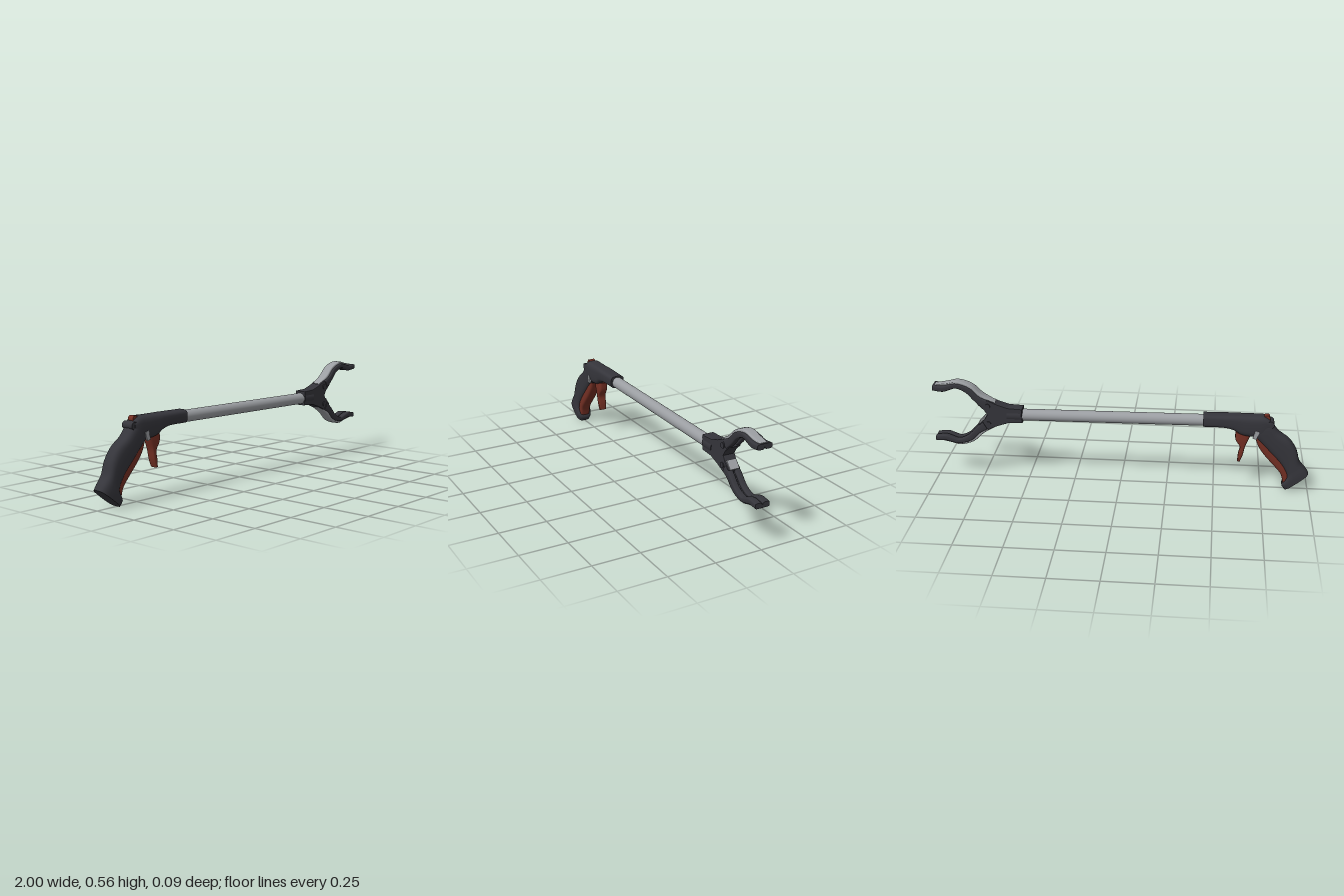
import * as THREE from 'three';

const material = (name, color) => {
  const m = new THREE.MeshStandardMaterial({ color });
  m.name = name;
  return m;
};

// Rounded-box loft: each station is [ax, ay, bx, by, halfWidth], the two edge points seen from the side.
function loft(stations, { z = 0, power = 4, steps = 4, sides = 28 } = {}) {
  const curve = (i, j, k) => new THREE.CatmullRomCurve3(
    stations.map(s => new THREE.Vector3(s[i], s[j], s[k])), false, 'centripetal');
  const a = curve(0, 1, 4), b = curve(2, 3, 4);
  const n = (stations.length - 1) * steps;
  const pos = [], idx = [];
  const soft = v => Math.sign(v) * Math.abs(v) ** (2 / power);
  const ring = t => {
    const p = a.getPoint(t), q = b.getPoint(t);
    for (let j = 0; j < sides; j++) {
      const ang = (j / sides) * Math.PI * 2;
      const c = soft(Math.cos(ang)) / 2, s = soft(Math.sin(ang));
      pos.push((p.x + q.x) / 2 + (p.x - q.x) * c, (p.y + q.y) / 2 + (p.y - q.y) * c,
        z + s * (p.z + q.z) / 2);
    }
    return [(p.x + q.x) / 2, (p.y + q.y) / 2, z];
  };
  for (let i = 0; i <= n; i++) ring(i / n);
  for (let i = 0; i < n; i++) for (let j = 0; j < sides; j++) {
    const k = (j + 1) % sides, r = i * sides, s = r + sides;
    idx.push(r + j, s + j, r + k, r + k, s + j, s + k);
  }
  // separate end caps keep the rims crisp
  for (const end of [0, 1]) {
    const start = pos.length / 3;
    pos.push(...ring(end));
    for (let j = 0; j < sides; j++) {
      const u = start + j, v = start + (j + 1) % sides, c = start + sides;
      idx.push(...(end ? [u, c, v] : [u, v, c]));
    }
  }
  // turn the faces outward if the sections run the other way
  const P = i => new THREE.Vector3().fromArray(pos, i * 3);
  let volume = 0;
  for (let i = 0; i < idx.length; i += 3) volume += P(idx[i]).dot(P(idx[i + 1]).cross(P(idx[i + 2])));
  if (volume < 0) idx.reverse();
  const g = new THREE.BufferGeometry();
  g.setAttribute('position', new THREE.Float32BufferAttribute(pos, 3));
  g.setIndex(idx);
  g.computeVertexNormals();
  return g;
}

export function createModel() {
  const model = new THREE.Group();
  const dark = material('charcoal plastic', 0x35353b);
  const red = material('rust red rubber', 0x753024);
  const grey = material('brushed aluminium', 0x9b9ea2);
  const midY = 0.381;

  const add = (name, geometry, mat, x = 0, y = 0, z = 0) => {
    const mesh = new THREE.Mesh(geometry, mat);
    mesh.name = name;
    mesh.position.set(x, y, z);
    model.add(mesh);
    return mesh;
  };
  const pin = (name, r, length, mat, x, y) =>
    add(name, new THREE.CylinderGeometry(r, r, length, 24).rotateX(Math.PI / 2), mat, x, y);

  // pistol grip with flared foot
  add('grip', loft([
    [-1.0, 0.105, -0.878, 0.008, 0.044],
    [-0.983, 0.13, -0.862, 0.035, 0.046],
    [-0.95, 0.17, -0.885, 0.085, 0.044],
    [-0.93, 0.235, -0.85, 0.155, 0.043],
    [-0.89, 0.295, -0.795, 0.215, 0.043],
    [-0.83, 0.34, -0.75, 0.265, 0.043],
    [-0.79, 0.39, -0.71, 0.305, 0.043],
    [-0.765, 0.41, -0.68, 0.33, 0.04]], { power: 3.2 }), dark);

  // soft insert along the finger side
  add('gripInsert', loft([
    [-0.92, 0.09, -0.868, 0.045, 0.03],
    [-0.91, 0.14, -0.855, 0.095, 0.032],
    [-0.875, 0.19, -0.815, 0.145, 0.032],
    [-0.825, 0.245, -0.765, 0.2, 0.032],
    [-0.785, 0.29, -0.73, 0.25, 0.032],
    [-0.765, 0.325, -0.71, 0.3, 0.03]]), red);

  // housing that holds the tube
  add('housing', loft([
    [-0.435, 0.425, -0.435, 0.357, 0.04],
    [-0.55, 0.426, -0.55, 0.356, 0.043],
    [-0.6, 0.427, -0.6, 0.342, 0.043],
    [-0.635, 0.427, -0.635, 0.32, 0.043],
    [-0.7, 0.427, -0.7, 0.31, 0.044],
    [-0.75, 0.426, -0.755, 0.315, 0.043],
    [-0.785, 0.405, -0.785, 0.345, 0.038]], { power: 3.5 }), dark);
  pin('rearKnuckle', 0.02, 0.07, dark, -0.785, 0.385);
  pin('lockButton', 0.017, 0.034, red, -0.765, 0.414);
  for (const s of [-1, 1]) {
    const plate = add('sideLatch', new THREE.BoxGeometry(0.022, 0.045, 0.008), grey, -0.712, 0.33, s * 0.043);
    plate.rotation.z = 0.3;
  }

  // trigger
  add('trigger', loft([
    [-0.69, 0.33, -0.605, 0.33, 0.026],
    [-0.678, 0.295, -0.608, 0.285, 0.026],
    [-0.66, 0.25, -0.632, 0.245, 0.024],
    [-0.65, 0.2, -0.625, 0.2, 0.023],
    [-0.636, 0.16, -0.622, 0.163, 0.02]]), red);

  // long tube, tilted very slightly
  const tube = add('tube', new THREE.CylinderGeometry(0.031, 0.031, 1.0, 40).rotateZ(Math.PI / 2), grey, 0.05, 0.383);
  tube.rotation.z = -0.009;

  // forked jaw hub
  const hubTop = [[0.525, 0.036], [0.6, 0.04], [0.655, 0.058], [0.705, 0.08], [0.74, 0.085],
    [0.755, 0.058], [0.722, 0.028], [0.706, 0]];
  const outline = [...hubTop, ...hubTop.slice(0, -1).reverse().map(([x, y]) => [x, -y])];
  const hub = new THREE.ExtrudeGeometry(
    new THREE.Shape(outline.map(([x, y]) => new THREE.Vector2(x, y))),
    { depth: 0.05, bevelSize: 0.004, bevelThickness: 0.008, bevelSegments: 3 });
  add('jawHub', hub, dark, 0, midY, -0.025);
  add('hubCollar', new THREE.CylinderGeometry(0.037, 0.037, 0.08, 32).rotateZ(Math.PI / 2), dark, 0.565, 0.38);

  // two curved jaws, mirrored about the hub axis
  const jawStrip = [
    [0.665, 0.452, 0.68, 0.43, 0.024],
    [0.735, 0.492, 0.75, 0.475, 0.028],
    [0.79, 0.541, 0.8, 0.522, 0.028],
    [0.865, 0.564, 0.868, 0.545, 0.026],
    [0.92, 0.553, 0.916, 0.536, 0.024],
    [0.985, 0.541, 0.985, 0.53, 0.021]];
  const jawRail = [
    [0.71, 0.465, 0.735, 0.42, 0.016],
    [0.75, 0.485, 0.78, 0.463, 0.016],
    [0.797, 0.53, 0.82, 0.505, 0.016],
    [0.865, 0.552, 0.872, 0.527, 0.017],
    [0.91, 0.546, 0.905, 0.517, 0.018],
    [0.945, 0.537, 0.94, 0.506, 0.019],
    [0.995, 0.54, 0.995, 0.512, 0.019]];
  const jawWeb = jawRail.map(([ax, ay, bx, by]) =>
    [ax, ay, ax + (bx - ax) * 0.6, ay + (by - ay) * 0.6, 0.016]);
  for (const side of [1, -1]) {
    const flip = list => list.map(([ax, ay, bx, by, w]) =>
      [ax, midY + side * (ay - midY), bx, midY + side * (by - midY), w]);
    const label = side > 0 ? 'upper' : 'lower';
    add(label + 'JawStrip', loft(flip(jawStrip)), grey);
    add(label + 'JawWeb', loft(flip(jawWeb)), dark);
    for (const s of [-1, 1]) add(label + 'JawRail', loft(flip(jawRail), { z: s * 0.021, sides: 20 }), dark);
    pin(label + 'JawPivot', 0.014, 0.076, dark, 0.705, midY + side * 0.05);
  }
  // metal link at the root of the lower jaw
  const link = add('jawLink', new THREE.BoxGeometry(0.05, 0.012, 0.052), grey, 0.743, 0.34);
  link.rotation.z = -0.85;

  return model;
}
